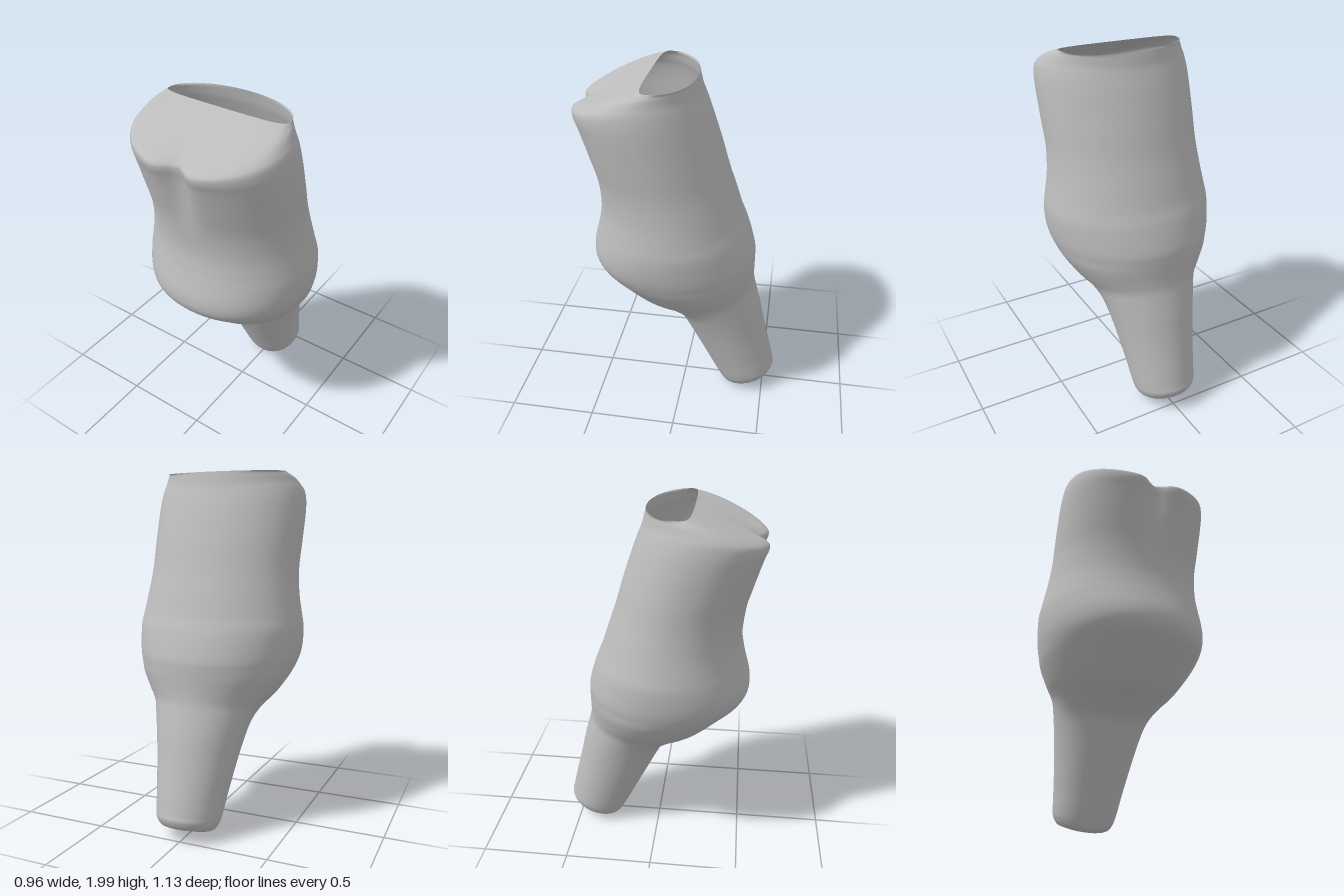
import * as THREE from 'three';

// Cross-sections from the foot up: front z, front y, back z, back y, half width
const SECTIONS = [
  [-0.40, 0.04, -0.40, 0.04, 0],
  [-0.30, 0.005, -0.50, 0.08, 0.10],
  [-0.255, 0.012, -0.54, 0.095, 0.145],
  [-0.23, 0.045, -0.56, 0.14, 0.172],
  [-0.20, 0.10, -0.553, 0.17, 0.183],
  [-0.15, 0.20, -0.535, 0.25, 0.195],
  [-0.05, 0.40, -0.485, 0.45, 0.227],
  [0.00, 0.50, -0.455, 0.58, 0.25],
  [0.05, 0.58, -0.425, 0.69, 0.275],
  [0.15, 0.645, -0.41, 0.75, 0.305],
  [0.28, 0.72, -0.405, 0.81, 0.365],
  [0.42, 0.85, -0.405, 0.88, 0.43],
  [0.49, 0.915, -0.405, 0.93, 0.452],
  [0.518, 0.965, -0.403, 0.97, 0.465],
  [0.52, 1.03, -0.385, 1.04, 0.475],
  [0.495, 1.13, -0.355, 1.13, 0.478],
  [0.478, 1.20, -0.325, 1.20, 0.467],
  [0.465, 1.30, -0.285, 1.32, 0.448],
  [0.478, 1.45, -0.24, 1.45, 0.435],
];
// Shoulder sections add: raised sides, groove depth, front squareness, centre z
const SHOULDER = [
  [0.52, 1.60, -0.195, 1.60, 0.438, 0, 0.03],
  [0.567, 1.75, -0.145, 1.75, 0.44, 0.01, 0.06],
  [0.587, 1.80, -0.12, 1.82, 0.436, 0.03, 0.07],
  [0.587, 1.825, -0.10, 1.87, 0.425, 0.05, 0.07],
  [0.56, 1.845, -0.085, 1.91, 0.41, 0.05, 0.06],
  [0.50, 1.87, -0.075, 1.95, 0.39, 0.05, 0.03],
  [0.35, 1.932, -0.07, 1.97, 0.372, 0.03, 0, 2.6, 0.18],
  [0.187, 1.995, -0.066, 1.985, 0.355, 0, 0, 4, 0.13],
];

const AROUND = 72;
const ROWS = 130;

// Point on a section; angle 0 is +x and a quarter turn is the front
function sectionPoint(section, angle) {
  const [zf, yf, zb, yb, w, lift = 0, groove = 0, power = 2.15,
    centre = (zf + zb) / 2] = section;
  const c = Math.cos(angle), s = Math.sin(angle);
  const e = s > 0 ? 2 / power : 1;
  const x = w * Math.sign(c) * Math.abs(c) ** e;
  let z = centre + (s > 0 ? (zf - centre) * s ** e : (centre - zb) * s);
  const t = zf === zb ? 0 : (z - zb) / (zf - zb);
  const y = yb + (yf - yb) * t + lift * c * c;
  if (s > 0) z -= groove * Math.exp(-((x / 0.07) ** 2));
  return new THREE.Vector3(x, y, z);
}

// Smooth open shell lofted through the sections
function loft(sections) {
  const positions = [], index = [];
  const columns = [];
  for (let j = 0; j < AROUND; j++) {
    const angle = (j / AROUND) * Math.PI * 2;
    columns.push(new THREE.CatmullRomCurve3(sections.map((s) => sectionPoint(s, angle))));
  }
  for (let i = 0; i <= ROWS; i++) {
    for (const column of columns) positions.push(...column.getPoint(i / ROWS).toArray());
  }
  for (let i = 0; i < ROWS; i++) {
    for (let j = 0; j < AROUND; j++) {
      const a = i * AROUND + j, b = i * AROUND + (j + 1) % AROUND;
      const up = a + AROUND, upNext = b + AROUND;
      if (i > 0) index.push(a, up, b);
      index.push(b, up, upNext);
    }
  }
  const geometry = new THREE.BufferGeometry();
  geometry.setAttribute('position', new THREE.Float32BufferAttribute(positions, 3));
  geometry.setIndex(index);
  geometry.computeVertexNormals();
  return geometry;
}

export function createModel() {
  const group = new THREE.Group();
  group.name = 'hollowPost';
  const grey = new THREE.MeshStandardMaterial({ color: 0xbcbcbc, side: THREE.DoubleSide });
  grey.name = 'grey';

  // Leaning stem, bulged collar and cut-off head with an open top
  const shell = new THREE.Mesh(loft([...SECTIONS, ...SHOULDER]), grey);
  shell.name = 'shell';
  group.add(shell);
  return group;
}
